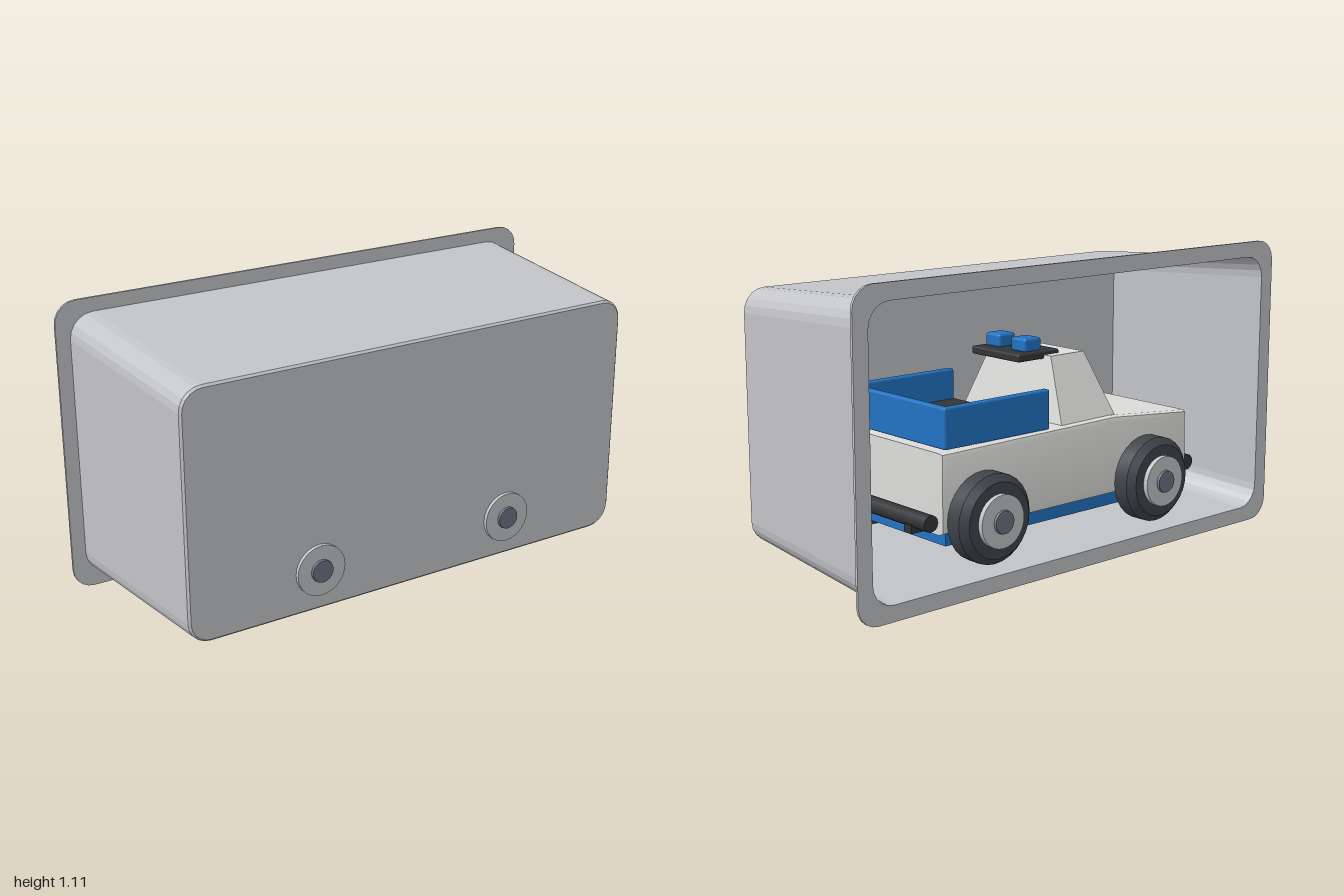
import * as THREE from 'three';
import { toCreasedNormals } from 'three/addons/utils/BufferGeometryUtils.js';
import { RoundedBoxGeometry } from 'three/addons/geometries/RoundedBoxGeometry.js';

function material(name, color) {
  const m = new THREE.MeshStandardMaterial({ color });
  m.name = name;
  return m;
}

function add(parent, name, geometry, mat, x = 0, y = 0, z = 0) {
  const mesh = new THREE.Mesh(geometry, mat);
  mesh.name = name;
  mesh.position.set(x, y, z);
  parent.add(mesh);
  return mesh;
}

// Rounded rectangle loop, counter-clockwise from +z, centred on y = 0.553
function roundedLoop([hx, hy, r, z], steps = 5) {
  const points = [];
  [[1, 1], [-1, 1], [-1, -1], [1, -1]].forEach(([sx, sy], corner) => {
    for (let i = 0; i <= steps; i++) {
      const a = (corner + i / steps) * Math.PI / 2;
      points.push([sx * (hx - r) + r * Math.cos(a), 0.553 + sy * (hy - r) + r * Math.sin(a), z]);
    }
  });
  return points;
}

// Skin a list of loops and close both ends
function loft(sections) {
  const loops = sections.map(s => roundedLoop(s));
  const n = loops[0].length;
  const pos = [];
  const tri = (...pts) => pts.forEach(p => pos.push(...p));
  const first = loops[0], last = loops[loops.length - 1];
  for (let j = 1; j < n - 1; j++) {
    tri(first[0], first[j], first[j + 1]);
    tri(last[0], last[j + 1], last[j]);
  }
  for (let i = 0; i < loops.length - 1; i++) {
    const a = loops[i], b = loops[i + 1];
    for (let j = 0; j < n; j++) {
      const k = (j + 1) % n;
      tri(a[j], b[j], b[k]);
      tri(a[j], b[k], a[k]);
    }
  }
  const g = new THREE.BufferGeometry();
  g.setAttribute('position', new THREE.Float32BufferAttribute(pos, 3));
  g.computeVertexNormals();
  return g;
}

// Side profile extruded across the width with a small bevel
function sideExtrude(points, halfWidth, bevel) {
  const shape = new THREE.Shape(points.map(p => new THREE.Vector2(...p)));
  const g = new THREE.ExtrudeGeometry(shape, {
    depth: 2 * (halfWidth - bevel), bevelEnabled: true, bevelSize: bevel,
    bevelOffset: -bevel, bevelThickness: bevel, bevelSegments: 2,
  });
  g.translate(0, 0, bevel - halfWidth);
  return toCreasedNormals(g, 0.6);
}

export function createModel() {
  const model = new THREE.Group();
  model.name = 'truckInTray';
  const grey = material('tray grey', 0xc3c4c8);
  const light = material('body light grey', 0xdededc);
  const blue = material('blue', 0x2272c3);
  const black = material('black', 0x333537);
  const rubber = material('tyre dark grey', 0x3f444a);
  const slate = material('hub cap slate', 0x6a7281);

  // Tray: front wall, flared sides, rear flange, inside walls and floor
  add(model, 'tray', loft([
    [0.898, 0.449, 0.075, 0.385],
    [0.906, 0.457, 0.083, 0.377],
    [0.947, 0.502, 0.09, -0.375],
    [1.0, 0.553, 0.08, -0.375],
    [1.0, 0.553, 0.08, -0.385],
    [0.94, 0.495, 0.083, -0.385],
    [0.899, 0.45, 0.076, 0.372],
  ]), grey);

  const truck = new THREE.Group();
  truck.name = 'truck';
  model.add(truck);

  // Body and chassis
  add(truck, 'body', sideExtrude([
    [0.58, 0.21], [0.58, 0.495], [-0.24, 0.505], [-0.63, 0.47], [-0.635, 0.24], [-0.56, 0.21],
  ], 0.295, 0.02), light);
  add(truck, 'chassis', new THREE.BoxGeometry(1.08, 0.06, 0.52), blue, 0, 0.19, 0);

  // Cab: a box narrowed at the roof
  const cabGeometry = new THREE.BoxGeometry(1, 1, 1);
  const p = cabGeometry.attributes.position;
  for (let i = 0; i < p.count; i++) {
    const top = p.getY(i) > 0, front = p.getX(i) < 0;
    const x = top ? (front ? -0.2 : -0.035) : (front ? -0.265 : 0.01);
    p.setXYZ(i, x, top ? 0.735 : 0.49, Math.sign(p.getZ(i)) * (top ? 0.165 : 0.275));
  }
  cabGeometry.computeVertexNormals();
  add(truck, 'cab', cabGeometry, light);

  // Open cargo bed
  add(truck, 'bedFloor', new THREE.BoxGeometry(0.47, 0.03, 0.53), black, 0.31, 0.515, 0);
  add(truck, 'bedRearWall', new RoundedBoxGeometry(0.03, 0.145, 0.56, 2, 0.008), blue, 0.54, 0.573, 0);
  for (const s of [-1, 1]) {
    add(truck, 'bedSideWall', new RoundedBoxGeometry(0.48, 0.145, 0.03, 2, 0.008), blue, 0.315, 0.573, s * 0.265);
  }

  // Roof plate with two blocks
  add(truck, 'roofPlate', new RoundedBoxGeometry(0.2, 0.03, 0.26, 2, 0.008), black, -0.01, 0.735, 0);
  for (const s of [-1, 1]) {
    add(truck, 'roofBlock', new RoundedBoxGeometry(0.08, 0.05, 0.08, 2, 0.01), blue, 0, 0.773, s * 0.07);
  }

  // Bumper bars and their brackets
  for (const s of [-1, 1]) {
    const bar = add(truck, s < 0 ? 'frontBumper' : 'rearBumper',
      new THREE.CylinderGeometry(0.03, 0.03, 0.54, 16), black, s < 0 ? -0.665 : 0.61, 0.255, 0);
    bar.rotation.x = Math.PI / 2;
    for (const side of [-1, 1]) {
      add(truck, 'bumperBracket', new THREE.BoxGeometry(0.12, 0.03, 0.04), black, s * 0.58, 0.225, side * 0.18);
    }
  }

  // Axles and wheels
  const tyreProfile = [[0.06, -0.055], [0.135, -0.055], [0.16, -0.03], [0.16, 0.03], [0.135, 0.055], [0.06, 0.055]]
    .map(q => new THREE.Vector2(...q));
  const tyreGeometry = toCreasedNormals(new THREE.LatheGeometry(tyreProfile, 28), 0.5);
  for (const x of [-0.4, 0.4]) {
    const axle = add(truck, 'axle', new THREE.CylinderGeometry(0.025, 0.025, 0.6, 12), black, x, 0.25, 0);
    axle.rotation.x = Math.PI / 2;
    for (const s of [-1, 1]) {
      const wheel = new THREE.Group();
      wheel.name = 'wheel';
      wheel.position.set(x, 0.25, s * 0.325);
      wheel.rotation.x = s * Math.PI / 2;
      truck.add(wheel);
      add(wheel, 'tyre', tyreGeometry, rubber);
      add(wheel, 'hub', new THREE.CylinderGeometry(0.095, 0.095, 0.08, 28), grey, 0, 0.034, 0);
      add(wheel, 'hubCap', new THREE.CylinderGeometry(0.041, 0.046, 0.04, 20), slate, 0, 0.064, 0);
    }
  }
  return model;
}
